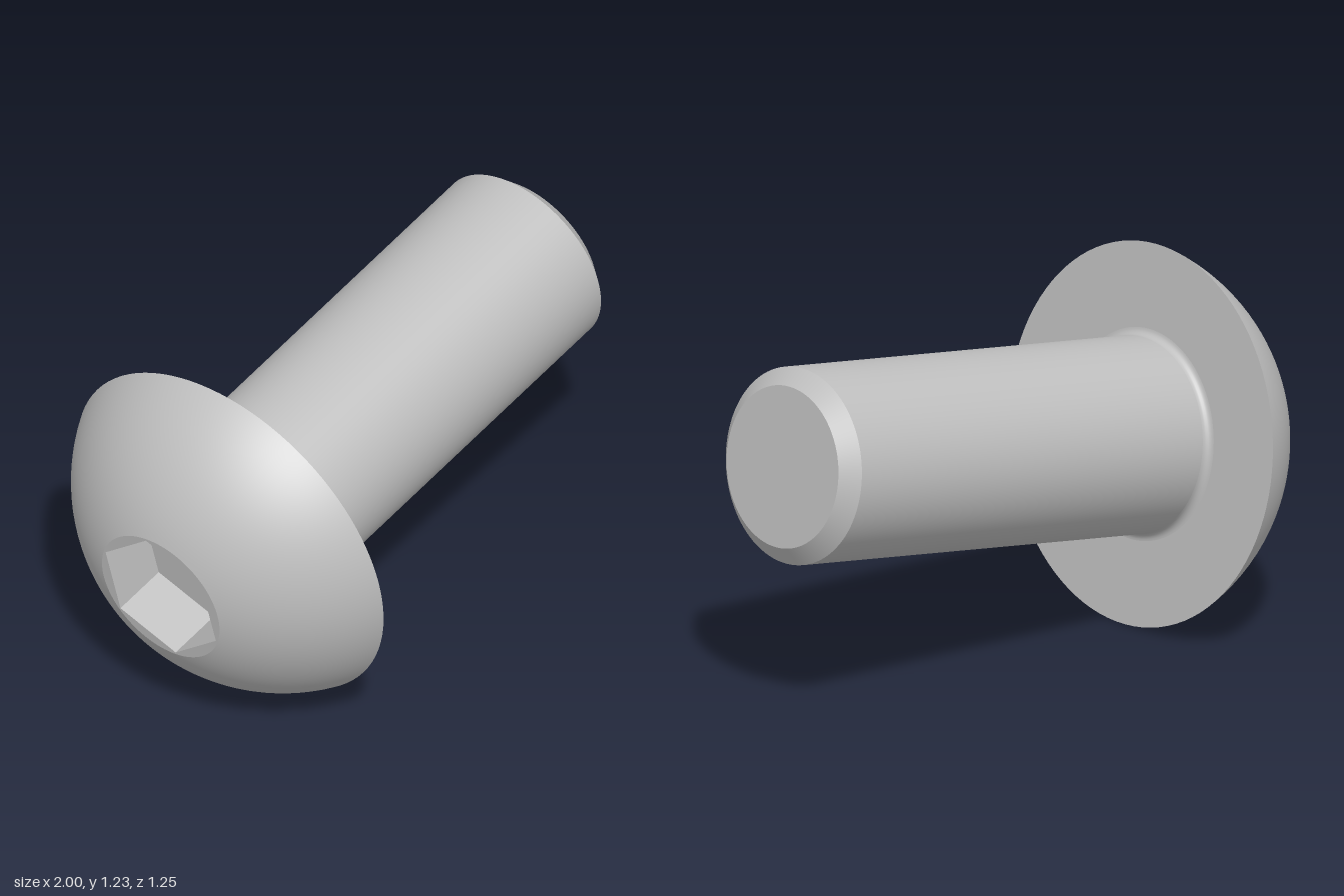
import * as THREE from 'three';

// Button-head socket screw, built along local +Y (head underside at y = 0), then tilted.
const HEAD_R = 0.625, HEAD_H = 0.365, FLAT_R = 0.24;
const SHAFT_R = 0.321, FILLET = 0.025, CHAMFER_Y = 1.527, END_R = 0.264, END_Y = 1.577;
const HEX_R = 0.233, HEX_DEPTH = 0.2, HEX_TURN = THREE.MathUtils.degToRad(-22.7);
const SEGMENTS = 96;

export function createModel() {
  const steel = new THREE.MeshStandardMaterial({ color: 0xbfbfbf });
  steel.name = 'steel grey';

  const screw = new THREE.Group();
  screw.name = 'screw';

  const add = (name, geometry) => {
    const mesh = new THREE.Mesh(geometry, steel);
    mesh.name = name;
    screw.add(mesh);
  };
  const turned = (points, segments = SEGMENTS, start = 0) =>
    new THREE.LatheGeometry(points.map(([r, y]) => new THREE.Vector2(r, y)), segments, start);
  const arc = (cx, cy, radius, from, to, steps) =>
    Array.from({ length: steps + 1 }, (_, i) => {
      const a = from + (to - from) * i / steps;
      return [cx + radius * Math.cos(a), cy + radius * Math.sin(a)];
    });

  // Domed head: spherical zone between the flat top and the rim
  const cy = (HEAD_R ** 2 - FLAT_R ** 2 - HEAD_H ** 2) / (2 * HEAD_H);
  const domeR = Math.hypot(HEAD_R, cy);
  add('headDome', turned(arc(0, cy, domeR,
    Math.atan2(-HEAD_H - cy, FLAT_R), Math.atan2(-cy, HEAD_R), 24)));

  // Flat top of the head with a hexagonal opening
  const face = new THREE.Shape().absarc(0, 0, FLAT_R, 0, Math.PI * 2);
  const hex = Array.from({ length: 6 }, (_, i) => {
    const a = HEX_TURN + i * Math.PI / 3;
    return new THREE.Vector2(-Math.sin(a) * HEX_R, Math.cos(a) * HEX_R);
  });
  face.holes.push(new THREE.Path(hex));
  add('headFace', new THREE.ShapeGeometry(face, SEGMENTS / 2)
    .rotateX(Math.PI / 2).translate(0, -HEAD_H, 0));

  // Hex socket: floor and six flat walls
  const socket = turned([[0, HEX_DEPTH - HEAD_H], [HEX_R, HEX_DEPTH - HEAD_H], [HEX_R, -HEAD_H]],
    6, -HEX_TURN).toNonIndexed();
  socket.computeVertexNormals();
  add('hexSocket', socket);

  // Underside of the head, fillet, shaft, chamfer and end
  add('headUnderside', turned([[HEAD_R, 0], [SHAFT_R + FILLET, 0]]));
  add('shaftFillet', turned(arc(SHAFT_R + FILLET, FILLET, FILLET, -Math.PI / 2, -Math.PI, 6)));
  add('shaft', turned([[SHAFT_R, FILLET], [SHAFT_R, CHAMFER_Y]]));
  add('shaftChamfer', turned([[SHAFT_R, CHAMFER_Y], [END_R, END_Y]]));
  add('shaftEnd', turned([[END_R, END_Y], [0, END_Y]]));

  // Tilt: local Y follows the screw axis, local Z stays close to world Z
  const axis = new THREE.Vector3(1, 0.158, -0.0865).normalize();
  const side = new THREE.Vector3(0, 0, 1).addScaledVector(axis, -axis.z).normalize();
  const third = new THREE.Vector3().crossVectors(axis, side);
  screw.quaternion.setFromRotationMatrix(new THREE.Matrix4().makeBasis(third, axis, side));
  screw.position.set(-0.597, 0.617, 0);

  const model = new THREE.Group();
  model.name = 'buttonHeadScrew';
  model.add(screw);
  return model;
}
